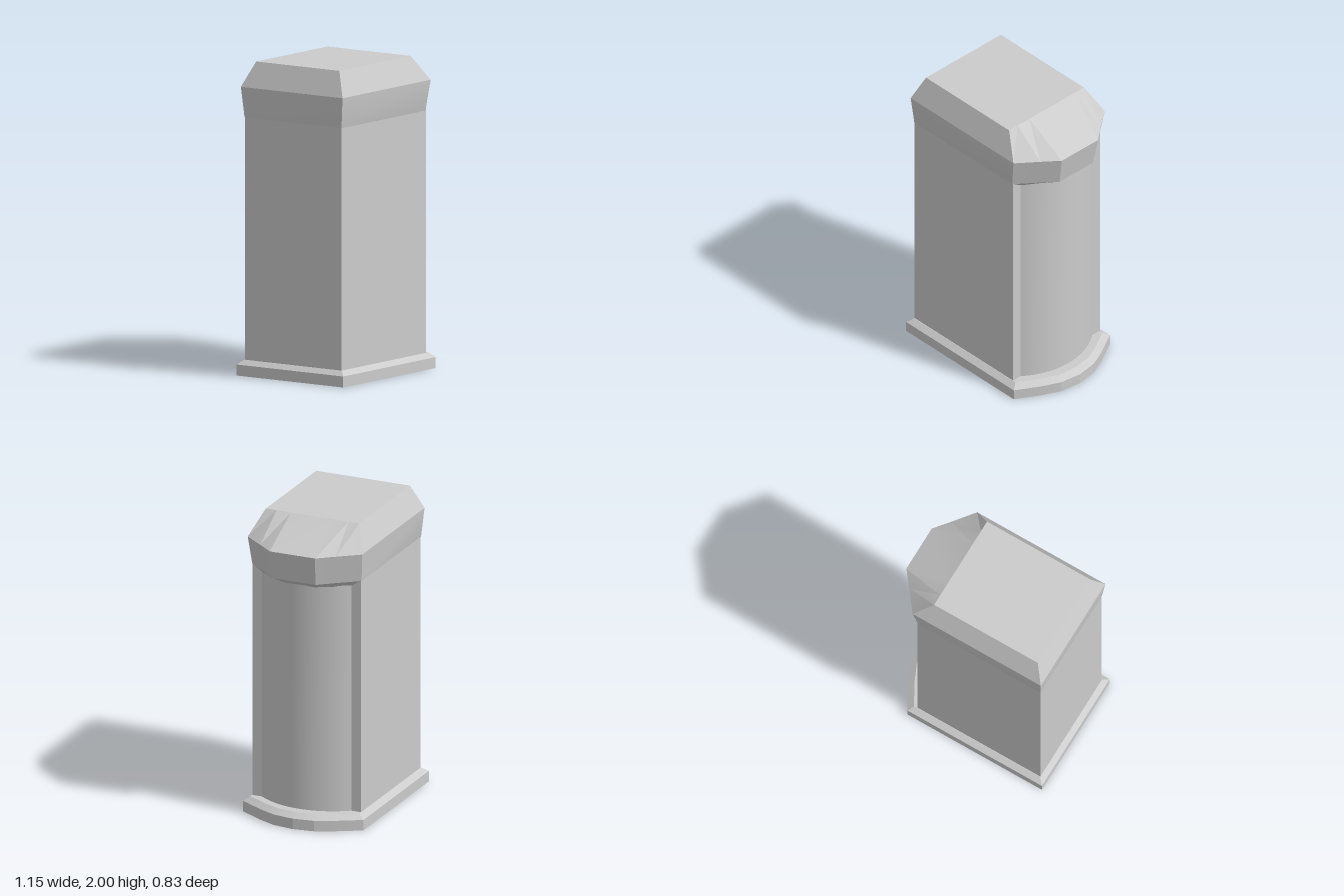
import * as THREE from 'three';
import { toCreasedNormals } from 'three/addons/utils/BufferGeometryUtils.js';

const material = new THREE.MeshStandardMaterial({ color: 0xcccccc });

// Mirror a front half outline of [x, z] points across z = 0 into a full ring.
function ring(y, half) {
  const back = half.filter(([, z]) => z > 0).reverse().map(([x, z]) => [x, -z]);
  return [...half, ...back].map(([x, z]) => new THREE.Vector3(x, y, z));
}

// Skin a stack of equal-length rings, bottom to top, and close both ends.
function loft(name, rings, crease) {
  const pos = [];
  const tri = (...points) => points.forEach((p) => pos.push(p.x, p.y, p.z));
  const middle = (r) => new THREE.Vector3(0, r[0].y, 0);
  const first = rings[0], last = rings[rings.length - 1];
  const n = first.length;
  for (let i = 0; i < n; i++) {
    const j = (i + 1) % n;
    for (let k = 0; k + 1 < rings.length; k++) {
      const a = rings[k], b = rings[k + 1];
      tri(a[i], a[j], b[j]);
      if (b[i].distanceTo(b[j]) > 1e-6) tri(a[i], b[j], b[i]);
    }
    tri(middle(first), first[j], first[i]);
    tri(middle(last), last[i], last[j]);
  }
  const geometry = new THREE.BufferGeometry();
  geometry.setAttribute('position', new THREE.Float32BufferAttribute(pos, 3));
  const mesh = new THREE.Mesh(toCreasedNormals(geometry, crease), material);
  mesh.name = name;
  return mesh;
}

export function createModel() {
  const group = new THREE.Group();
  group.name = 'pillar';

  // Plinth: rounded on the +x end, with a bevelled upper edge
  const plinth = [[-0.575, 0.417], [0.41, 0.417], [0.5, 0.26], [0.555, 0.14], [0.574, 0]];
  const bevel = [[-0.54, 0.38], [0.385, 0.38], [0.465, 0.24], [0.515, 0.13], [0.53, 0]];
  group.add(loft('plinth', [ring(0, plinth), ring(0.07, plinth), ring(0.1, bevel)], 0.2));

  // Shaft: a block with narrow shoulders and a shallow rounded bulge
  const shaft = [[-0.54, 0.377], [0.36, 0.377]];
  const bulgeRadius = 0.5, halfAngle = Math.asin(0.31 / bulgeRadius);
  const bulgeCentre = 0.468 - bulgeRadius;
  for (let i = 0; i <= 10; i++) {
    const a = halfAngle * (1 - i / 10);
    shaft.push([bulgeCentre + bulgeRadius * Math.cos(a), bulgeRadius * Math.sin(a)]);
  }
  group.add(loft('shaft', [ring(0.08, shaft), ring(1.7, shaft)], 0.4));

  // Cap: sloped underside, flared band, then a chamfer up to the flat top
  group.add(loft('cap', [
    ring(1.6, [[-0.53, 0.36], [0.35, 0.31], [0.42, 0.2], [0.46, 0.1]]),
    ring(1.65, [[-0.541, 0.379], [0.355, 0.379], [0.46, 0.245], [0.542, 0.145]]),
    ring(1.84, [[-0.555, 0.397], [0.385, 0.397], [0.49, 0.262], [0.575, 0.157]]),
    ring(2, [[-0.49, 0.325], [0.27, 0.325], [0.27, 0.25], [0.27, 0.15]]),
  ], 0.3));

  return group;
}
